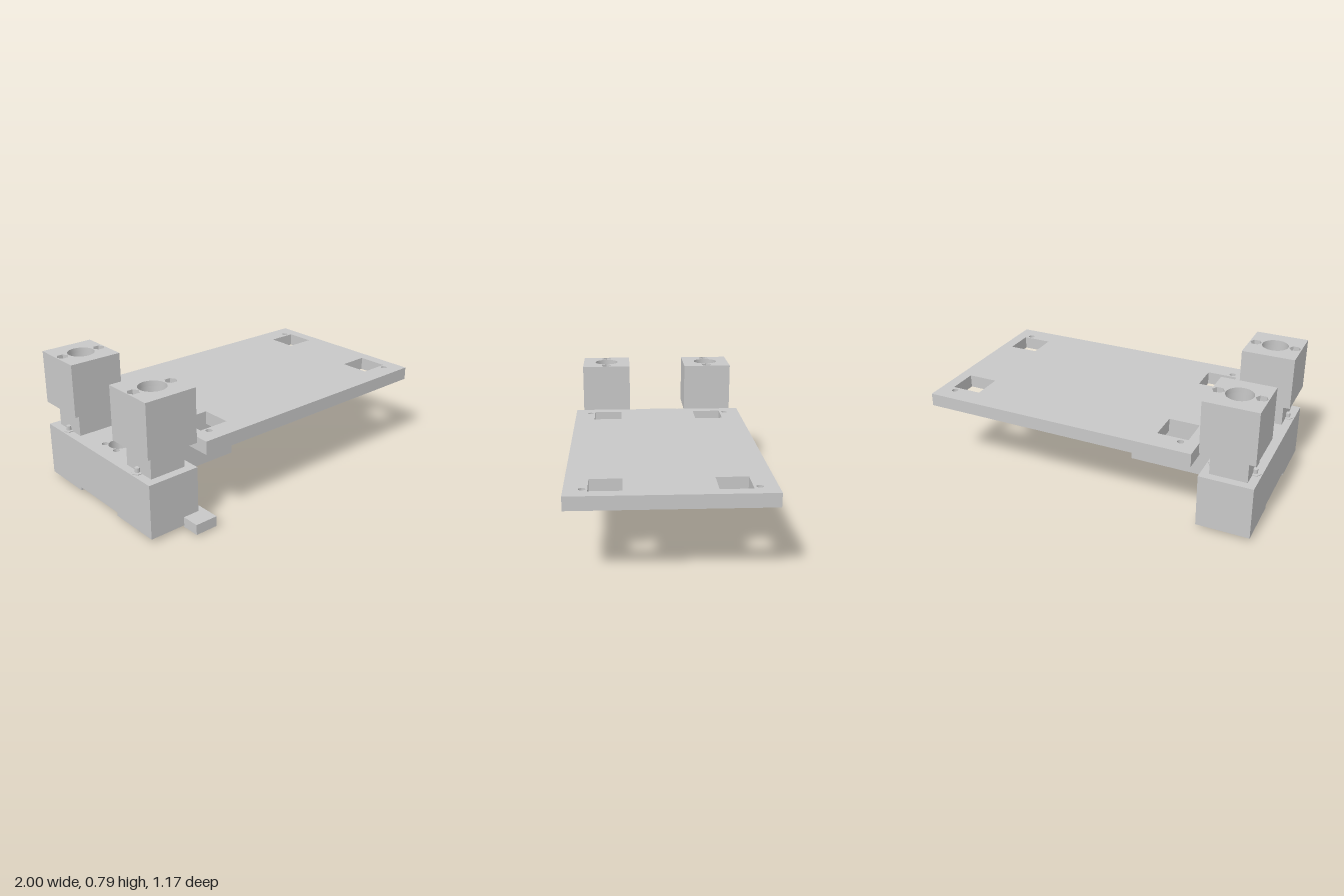
import * as THREE from 'three';
import { toCreasedNormals } from 'three/addons/utils/BufferGeometryUtils.js';

const grey = new THREE.MeshStandardMaterial({ color: 0xc8c8c8 });
grey.name = 'plain grey';

// Outlines are [x, z] points, counter-clockwise in that plane.
function outline(points, target) {
  return target.setFromPoints(points.map(([x, z]) => new THREE.Vector2(x, z)));
}
const rect = (x0, x1, z0, z1) => [[x0, z0], [x1, z0], [x1, z1], [x0, z1]];

function polygon(x, z, r, sides = 40) {
  return Array.from({ length: sides }, (_, i) => {
    const a = (i / sides) * Math.PI * 2;
    return [x + r * Math.cos(a), z + r * Math.sin(a)];
  });
}

// Vertical slab between two heights, with holes cut through it.
function slab(name, points, y0, y1, holes = []) {
  const shape = outline(points, new THREE.Shape());
  shape.holes = holes.map((h) => outline(h, new THREE.Path()));
  const geo = new THREE.ExtrudeGeometry(shape, { depth: y1 - y0, bevelEnabled: false });
  geo.rotateX(Math.PI / 2).translate(0, y1, 0);
  const mesh = new THREE.Mesh(toCreasedNormals(geo, 0.5), grey);
  mesh.name = name;
  return mesh;
}

const AX = -0.843;                 // axis of the clamp column
const X0 = -1, X1 = -0.687;        // clamp block width
const BORE = 0.078;
const DECK = 0.337;                // top of the lower blocks

// One clamp tower: collar, lower block, neck, upper block and bolts.
function tower(name, z, z0, z1) {
  const g = new THREE.Group();
  g.name = name;
  const bore = polygon(AX, z, BORE);
  const block = rect(X0, X1, z0, z1);
  const bolts = [AX - 0.118, AX + 0.118];

  g.add(slab('collar', polygon(AX, z, 0.109), 0, 0.02, [polygon(AX, z, 0.09)]));
  g.add(slab('lowerBlock', block, 0.02, DECK, [bore]));
  g.add(slab('neck', rect(AX - 0.108, AX + 0.108, z - 0.109, z + 0.109), DECK, 0.48, [bore]));
  // Upper block, with hexagonal pockets above round bolt holes
  g.add(slab('upperBlock', block, 0.48, 0.763,
    [bore, ...bolts.map((x) => polygon(x, z, 0.019, 24))]));
  g.add(slab('upperBlockTop', block, 0.763, 0.793,
    [bore, ...bolts.map((x) => polygon(x, z, 0.035, 6))]));
  for (const x of bolts) {
    g.add(slab('boltHead', polygon(x, z, 0.034, 6), DECK - 0.002, 0.342));
    g.add(slab('boltStud', polygon(x, z, 0.014, 20), DECK, 0.368));
  }
  return g;
}

export function createModel() {
  const model = new THREE.Group();
  model.name = 'clampedPlatform';

  // Platform with four square windows and four pin holes
  const cuts = [];
  for (const [x0, x1, px] of [[-0.598, -0.415, -0.565], [0.75, 0.931, 0.9]]) {
    cuts.push(rect(x0, x1, -0.452, -0.273), rect(x0, x1, 0.218, 0.397));
    cuts.push(polygon(px, -0.485, 0.019, 24), polygon(px, 0.426, 0.019, 24));
  }
  model.add(slab('platform', rect(-0.662, 1, -0.583, 0.523), 0.418, 0.496, cuts));

  // Support block under the platform
  model.add(slab('supportBlock', rect(-0.705, -0.132, -0.167, 0.109), 0.101, 0.487));

  // Clamp towers
  model.add(tower('frontTower', 0.317, 0.158, 0.476));
  model.add(tower('rearTower', -0.376, -0.533, -0.219));

  // Bridge between the lower blocks: a shallow square pocket below, five holes
  const zc = -0.031;
  const holes = [polygon(AX, zc, 0.06)];
  for (const sx of [-1, 1]) for (const sz of [-1, 1]) {
    holes.push(polygon(AX + sx * 0.056, zc + sz * 0.056, 0.019, 24));
  }
  const span = rect(X0, X1, -0.219, 0.158);
  model.add(slab('bridge', span, 0.083, DECK, holes));
  model.add(slab('bridgePocket', span, 0.041, 0.083,
    [rect(AX - 0.105, AX + 0.105, zc - 0.105, zc + 0.105)]));

  // L-shaped foot wrapped around the front lower block
  model.add(slab('foot', [
    [-0.785, 0.473], [-0.69, 0.473], [-0.69, 0.181], [-0.648, 0.181], [-0.648, 0.583], [-0.785, 0.583],
  ], 0.01, 0.07));

  return model;
}
